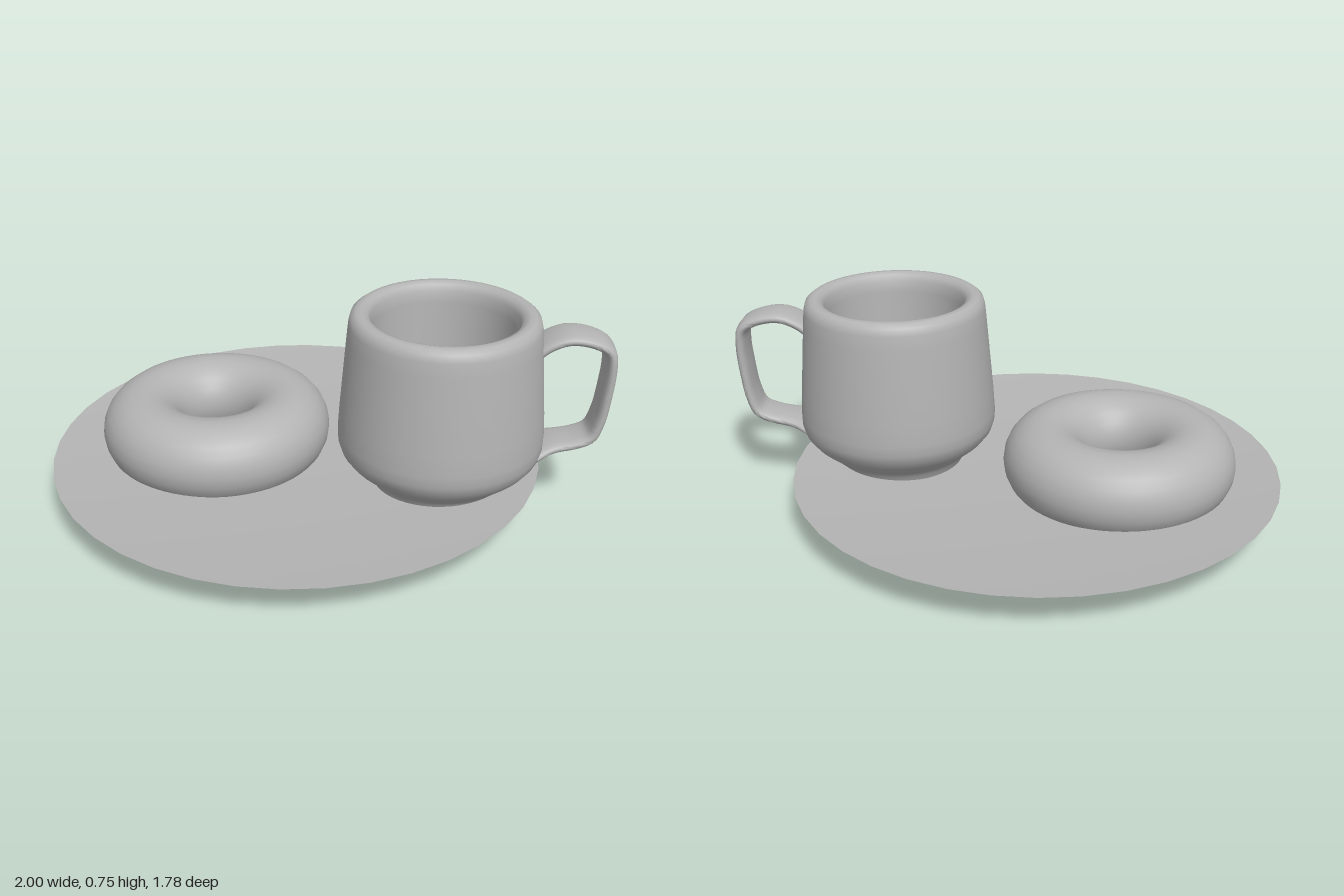
import * as THREE from 'three';
import { toCreasedNormals } from 'three/addons/utils/BufferGeometryUtils.js';

const clay = new THREE.MeshStandardMaterial({ color: 0xb4b4b4 });
clay.name = 'grey clay';

function part(name, geometry, x = 0, y = 0, z = 0) {
  const mesh = new THREE.Mesh(geometry, clay);
  mesh.name = name;
  mesh.position.set(x, y, z);
  return mesh;
}

// Closed profile from the bottom axis outwards, over the rim, back to the axis
function turned(profile, segments, crease) {
  const points = profile.map(([r, y]) => new THREE.Vector2(r, y));
  return toCreasedNormals(new THREE.LatheGeometry(points, segments), crease);
}

// Broad, flat strap handle: a thin tube stretched sideways
function handleGeometry() {
  const path = new THREE.CatmullRomCurve3([
    [0.70, 0.60], [0.76, 0.65], [0.83, 0.675], [0.92, 0.66], [0.965, 0.63],
    [0.975, 0.57], [0.968, 0.46], [0.955, 0.37], [0.93, 0.305],
    [0.88, 0.28], [0.80, 0.262], [0.72, 0.235],
  ].map(([x, y]) => new THREE.Vector3(x, y, 0)));
  const radius = 0.02;
  const geometry = new THREE.TubeGeometry(path, 48, radius, 16, false);
  const p = geometry.attributes.position;
  for (let i = 0; i < p.count; i++) {
    const s = p.getZ(i) / radius;
    // Flares where the lower end joins the cup
    const low = p.getY(i) < 0.4 ? THREE.MathUtils.clamp((0.84 - p.getX(i)) / 0.1, 0, 1) : 0;
    p.setZ(i, Math.sign(s) * Math.sqrt(Math.abs(s)) * 0.076 * (1 + 0.5 * low * low));
  }
  return toCreasedNormals(geometry, 0.9);
}

// Ring with a flattened underside, resting in the plate
function doughnutGeometry() {
  const geometry = new THREE.TorusGeometry(0.269, 0.151, 24, 64);
  geometry.rotateX(-Math.PI / 2);
  const p = geometry.attributes.position;
  for (let i = 0; i < p.count; i++) p.setY(i, Math.max(p.getY(i) * 0.97, -0.11));
  return geometry;
}

export function createModel() {
  const model = new THREE.Group();
  model.name = 'cup and doughnut on plate';

  // Plate with a foot ring, flared underside and shallow dish
  model.add(part('plate', turned([
    [0, 0.032], [0.625, 0.032], [0.628, 0.002], [0.636, 0], [0.648, 0.01],
    [0.65, 0.04], [0.655, 0.042], [0.89, 0.14], [0.87, 0.138], [0.41, 0.112], [0, 0.11],
  ], 40, 0.25), -0.11));

  model.add(part('doughnut', doughnutGeometry(), -0.411, 0.199, -0.058));

  // Cup with thick rounded lip and hollow inside
  const cup = new THREE.Group();
  cup.name = 'cup';
  const cx = 0.408, cz = 0.145;
  cup.add(part('cupBody', turned([
    [0, 0.08], [0.232, 0.08], [0.24, 0.13], [0.27, 0.158], [0.325, 0.205], [0.35, 0.237],
    [0.361, 0.27], [0.362, 0.31], [0.357, 0.39], [0.345, 0.53], [0.334, 0.66],
    [0.329, 0.71], [0.322, 0.736], [0.305, 0.749], [0.285, 0.751], [0.265, 0.743],
    [0.254, 0.722], [0.251, 0.68], [0.246, 0.45], [0.236, 0.3], [0.205, 0.21],
    [0.15, 0.16], [0, 0.158],
  ], 48, 0.75), cx, 0, cz));
  cup.add(part('handle', handleGeometry(), 0, 0, 0.15));
  model.add(cup);

  return model;
}
